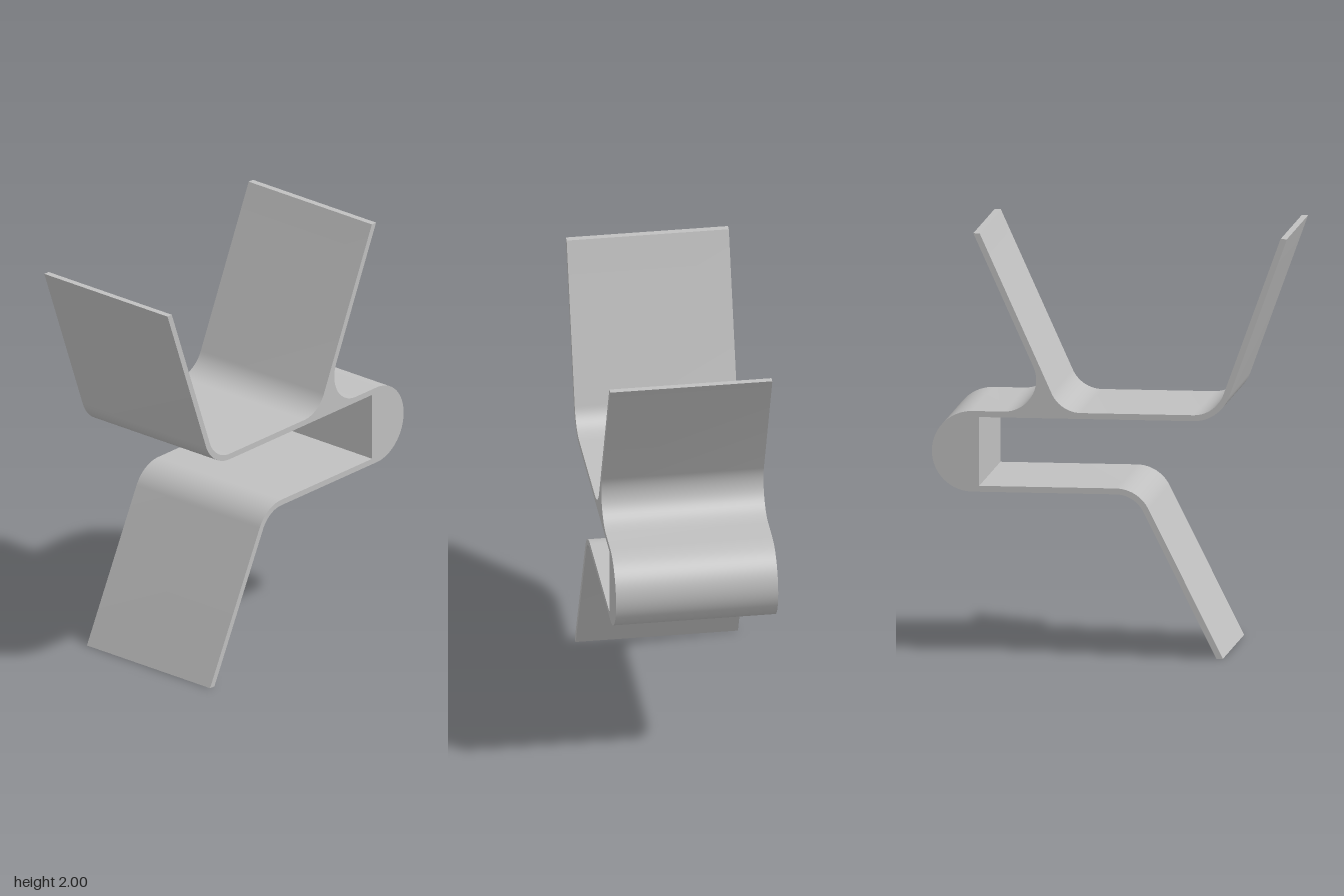
import * as THREE from 'three';
import { toCreasedNormals } from 'three/addons/utils/BufferGeometryUtils.js';

const DEPTH = 0.77;

// Closed outline from corners [x, y, radius]; corners with a radius become circular arcs
function filletedOutline(corners, steps = 16) {
  const points = [];
  corners.forEach(([x, y, r = 0], i) => {
    const corner = new THREE.Vector2(x, y);
    if (!r) return points.push(corner);
    const prev = corners[(i + corners.length - 1) % corners.length];
    const next = corners[(i + 1) % corners.length];
    const a = new THREE.Vector2(prev[0] - x, prev[1] - y).normalize();
    const b = new THREE.Vector2(next[0] - x, next[1] - y).normalize();
    const half = Math.acos(a.dot(b)) / 2;
    const centre = a.clone().add(b).normalize().multiplyScalar(r / Math.sin(half)).add(corner);
    const start = a.multiplyScalar(r / Math.tan(half)).add(corner).sub(centre);
    const sweep = (Math.PI - 2 * half) * Math.sign(start.cross(corner.clone().sub(centre)));
    for (let k = 0; k <= steps; k++) {
      points.push(start.clone().rotateAround(new THREE.Vector2(), sweep * k / steps).add(centre));
    }
  });
  return points;
}

export function createModel() {
  const model = new THREE.Group();
  const grey = new THREE.MeshStandardMaterial({ color: 0xc0c0c0 });
  grey.name = 'plain grey';

  // Rounded nose, as a half circle
  const nose = [];
  for (let i = 0; i <= 40; i++) {
    const t = -Math.PI / 2 + Math.PI * i / 40;
    nose.push([0.65 + 0.1915 * Math.cos(t), 0.9635 + 0.1915 * Math.sin(t)]);
  }

  const outline = filletedOutline([
    // lower leg and underside
    [-0.538, 0], [-0.507, 0], [-0.12, 0.772, 0.145],
    ...nose,
    // right arm with a fillet on both sides
    [0.263, 1.155, 0.153], [0.645, 2], [0.615, 2], [0.233, 1.155, 0.153],
    // left arm
    [-0.504, 1.155, 0.153], [-0.811, 2], [-0.8415, 2], [-0.524, 1.127, 0.181],
    // slot between the two plates
    [0.617, 1.127], [0.617, 0.8], [-0.137, 0.8, 0.173],
  ]);

  const geometry = new THREE.ExtrudeGeometry(new THREE.Shape(outline), {
    depth: DEPTH, bevelEnabled: false,
  });
  geometry.translate(0, 0, -DEPTH / 2);
  const clip = new THREE.Mesh(toCreasedNormals(geometry, 0.5), grey);
  clip.name = 'clipProfile';
  model.add(clip);
  return model;
}
